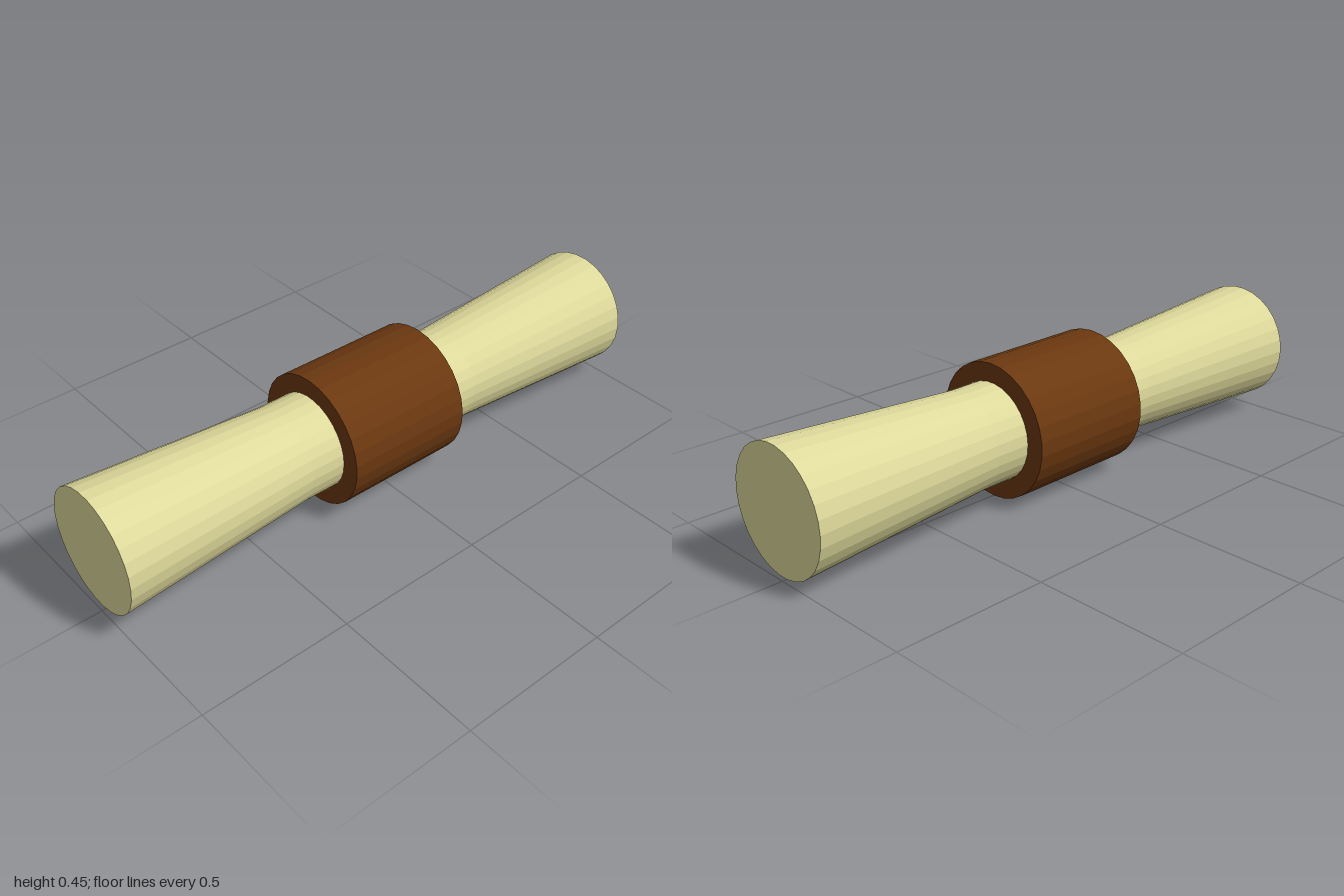
import * as THREE from 'three';

const SIDES = 30;

// Faceted normals for a low-poly look
function faceted(geometry) {
  const flat = geometry.toNonIndexed();
  flat.computeVertexNormals();
  return flat;
}

export function createModel() {
  const cream = new THREE.MeshStandardMaterial({ color: 0xded99b });
  cream.name = 'cream';
  const brown = new THREE.MeshStandardMaterial({ color: 0x6b3810 });
  brown.name = 'brown';

  // Rod: flared towards both ends, straight through the middle third
  const profile = [
    [0, -1], [0.2, -1], [0.159, -0.335], [0.159, 0.335], [0.2, 1], [0, 1],
  ].map(([r, y]) => new THREE.Vector2(r, y));
  const rod = new THREE.Mesh(faceted(new THREE.LatheGeometry(profile, SIDES)), cream);
  rod.name = 'flaredRod';

  // Sleeve around the middle, with a facet corner at the top
  const band = new THREE.CylinderGeometry(0.22, 0.22, 0.44, SIDES, 1, false, Math.PI / 2);
  const sleeve = new THREE.Mesh(faceted(band), brown);
  sleeve.name = 'centreSleeve';

  // Lay the parts along x, tipped slightly down towards +x
  const body = new THREE.Group();
  body.name = 'body';
  body.add(rod, sleeve);
  body.rotation.z = -Math.PI / 2 - 0.0115;
  body.position.y = 0.2235;

  const model = new THREE.Group();
  model.name = 'model';
  model.add(body);
  return model;
}
